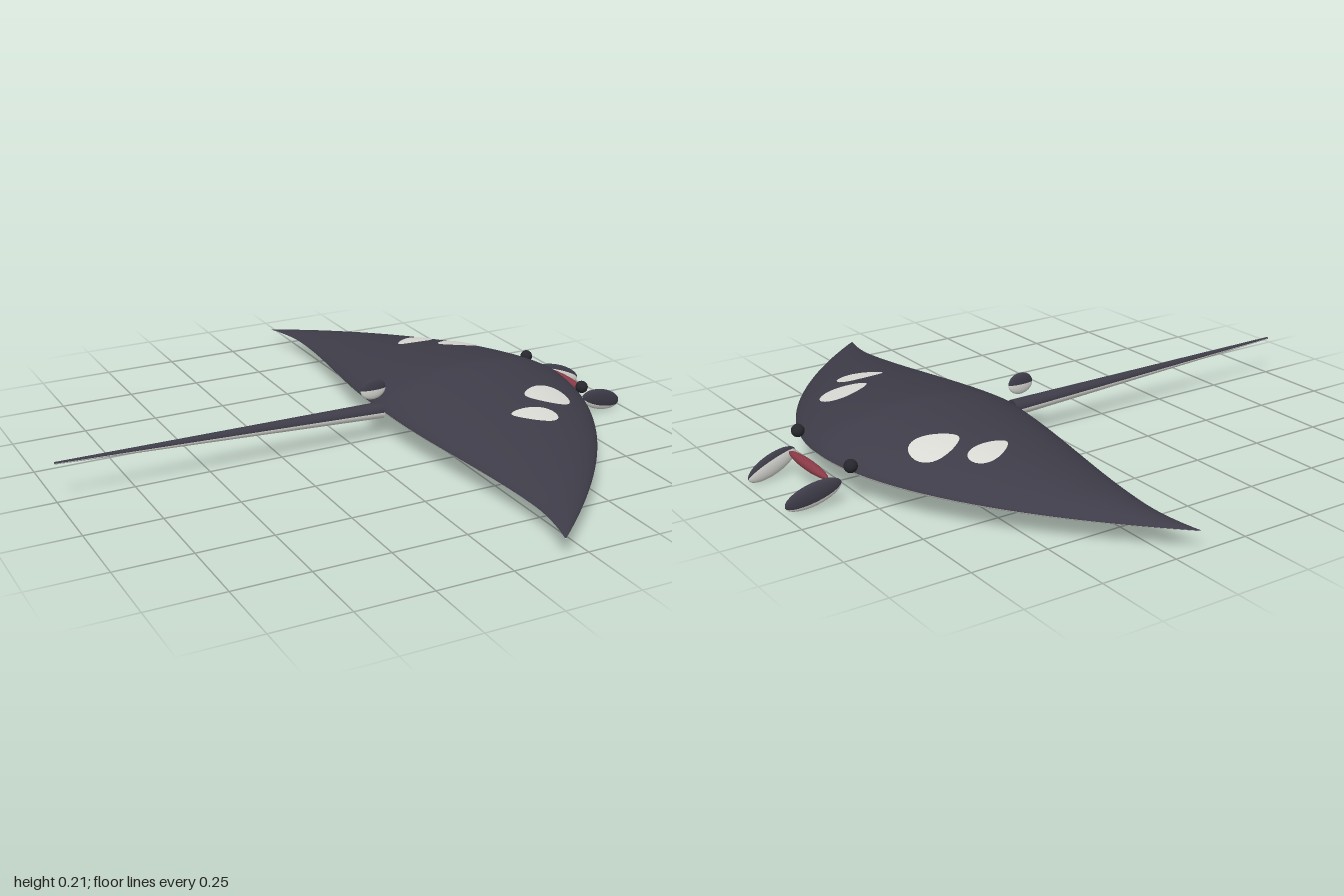
import * as THREE from 'three';

const paint = (name, color) => {
  const m = new THREE.MeshStandardMaterial({ color, side: THREE.DoubleSide });
  m.name = name;
  return m;
};

// Outline of the wings: leading edge, trailing edge and rim height across the span
const lead = z => 0.815 - 0.645 * Math.pow(Math.abs(z), 1.8);
const trail = z => {
  const a = Math.abs(z);
  return 0.11 + 0.085 * THREE.MathUtils.smoothstep(a, 0, 0.85) - 0.03 * Math.pow(Math.max(0, (a - 0.8) / 0.2), 2);
};
const rim = z => 0.115 - 0.04 * Math.abs(z);

// Height of the back and of the belly at any point of the outline
const bulge = (x, z) => {
  const t = (x - trail(z)) / (lead(z) - trail(z));
  return Math.max(0, 1 - (2 * t - 1) ** 2);
};
const backY = (x, z) => {
  const crest = 0.222 - 0.147 * Math.pow(Math.abs(z), 1.2);
  return rim(z) + Math.max(0, crest - rim(z)) * Math.pow(bulge(x, z), 0.7);
};
const bellyY = (x, z) => {
  const keel = 0.058 + 0.015 * Math.pow(Math.abs(z), 1.5);
  return rim(z) - Math.max(0, rim(z) - keel) * Math.pow(bulge(x, z), 0.55);
};

// One skin of the body, lofted across the span
function skin(height, up) {
  const n = 96, m = 36, pos = [], idx = [];
  for (let i = 0; i <= n; i++) {
    const z = -1 + 2 * i / n;
    for (let j = 0; j <= m; j++) {
      const t = (1 - Math.cos(Math.PI * j / m)) / 2;
      const x = trail(z) + (lead(z) - trail(z)) * t;
      pos.push(x, height(x, z), z);
      if (i < n && j < m) {
        const a = i * (m + 1) + j, b = a + 1, c = a + m + 1, d = c + 1;
        idx.push(...(up ? [a, c, b, b, c, d] : [a, b, c, b, d, c]));
      }
    }
  }
  const g = new THREE.BufferGeometry();
  g.setAttribute('position', new THREE.Float32BufferAttribute(pos, 3));
  g.setIndex(idx);
  g.computeVertexNormals();
  return g;
}

// Thin rounded marking laid over a skin; taper narrows its rear end
function marking(height, lift, cx, cz, length, width, taper = 0, turn = 0, side = 1) {
  const g = new THREE.RingGeometry(0.001, 1, 32, 5);
  const p = g.attributes.position;
  for (let i = 0; i < p.count; i++) {
    const u = p.getX(i), v = p.getY(i);
    const a = u * length, b = v * width * (1 + taper * u);
    const x = cx + a * Math.cos(turn) - b * Math.sin(turn);
    const z = side * (cz + a * Math.sin(turn) + b * Math.cos(turn));
    p.setXYZ(i, x, height(x, z) + lift, z);
  }
  g.computeVertexNormals();
  return g;
}

export function createModel() {
  const dark = paint('slate skin', 0x3d3c48);
  const light = paint('pale skin', 0xdadad5);
  const red = paint('mouth red', 0x8a3a46);
  const black = paint('eye and gill black', 0x26262d);

  const model = new THREE.Group();
  const add = (name, geometry, material, parent = model) => {
    const mesh = new THREE.Mesh(geometry, material);
    mesh.name = name;
    parent.add(mesh);
    return mesh;
  };

  // Ellipsoid with a dark upper half and a pale lower half
  const twoTone = (name, rx, ry, rz, roll = 0) => {
    const group = new THREE.Group();
    group.name = name;
    [[0, dark, 'Upper'], [Math.PI / 2, light, 'Lower']].forEach(([start, mat, part]) => {
      const g = new THREE.SphereGeometry(1, 28, 12, 0, Math.PI * 2, start, Math.PI / 2);
      add(name + part, g.rotateX(roll).scale(rx, ry, rz), mat, group);
    });
    model.add(group);
    return group;
  };

  // Body
  add('back', skin(backY, true), dark);
  add('belly', skin(bellyY, false), light);

  // Tail: tapered, split lengthwise into dark top and pale underside
  const tail = new THREE.Group();
  tail.name = 'tail';
  add('tailTop', new THREE.CylinderGeometry(0.004, 0.028, 1.115, 12, 8, false, 0, Math.PI), dark, tail);
  add('tailUnderside', new THREE.CylinderGeometry(0.004, 0.028, 1.115, 12, 8, false, Math.PI, Math.PI), light, tail);
  tail.position.set(-0.4425, 0.126, 0);
  tail.rotation.z = Math.PI / 2 - 0.028;
  model.add(tail);

  // Small fin above the tail root
  twoTone('dorsalFin', 0.046, 0.036, 0.012).position.set(0.083, 0.19, 0);

  // Mouth
  add('mouth', new THREE.SphereGeometry(1, 28, 16).scale(0.018, 0.016, 0.125), red).position.set(0.85, 0.088, 0);

  for (const s of [1, -1]) {
    const side = s > 0 ? 'left' : 'right';

    // Head fins reaching forward, pale on the inner lower side
    const fin = twoTone(side + 'HeadFin', 0.091, 0.036, 0.014, 0.6 * s);
    fin.position.set(0.905, 0.055, 0.138 * s);
    fin.rotation.set(0, 0.15 * s, -0.3);

    add(side + 'Eye', new THREE.SphereGeometry(0.021, 20, 14), black).position.set(0.797, 0.131, 0.172 * s);

    // Pale patches on the back
    add(side + 'FrontPatch', marking(backY, 0.004, 0.575, 0.282, 0.08, 0.06, 0.35, 0, s), light);
    add(side + 'RearPatch', marking(backY, 0.004, 0.458, 0.394, 0.077, 0.042, 0.35, 0.3, s), light);

    // Gill slits
    for (let i = 0; i < 5; i++) {
      add(side + 'Gill', marking(bellyY, -0.004, 0.69 - 0.056 * i, 0.187, 0.009, 0.06, 0, 0, s), black);
    }

    // Belly spots
    for (const [x, z] of [[0.5, 0.1], [0.42, 0.137], [0.357, 0.257], [0.295, 0.085]]) {
      add(side + 'BellySpot', marking(bellyY, -0.004, x, z, 0.021, 0.023, 0, 0, s), black);
    }
  }
  return model;
}
